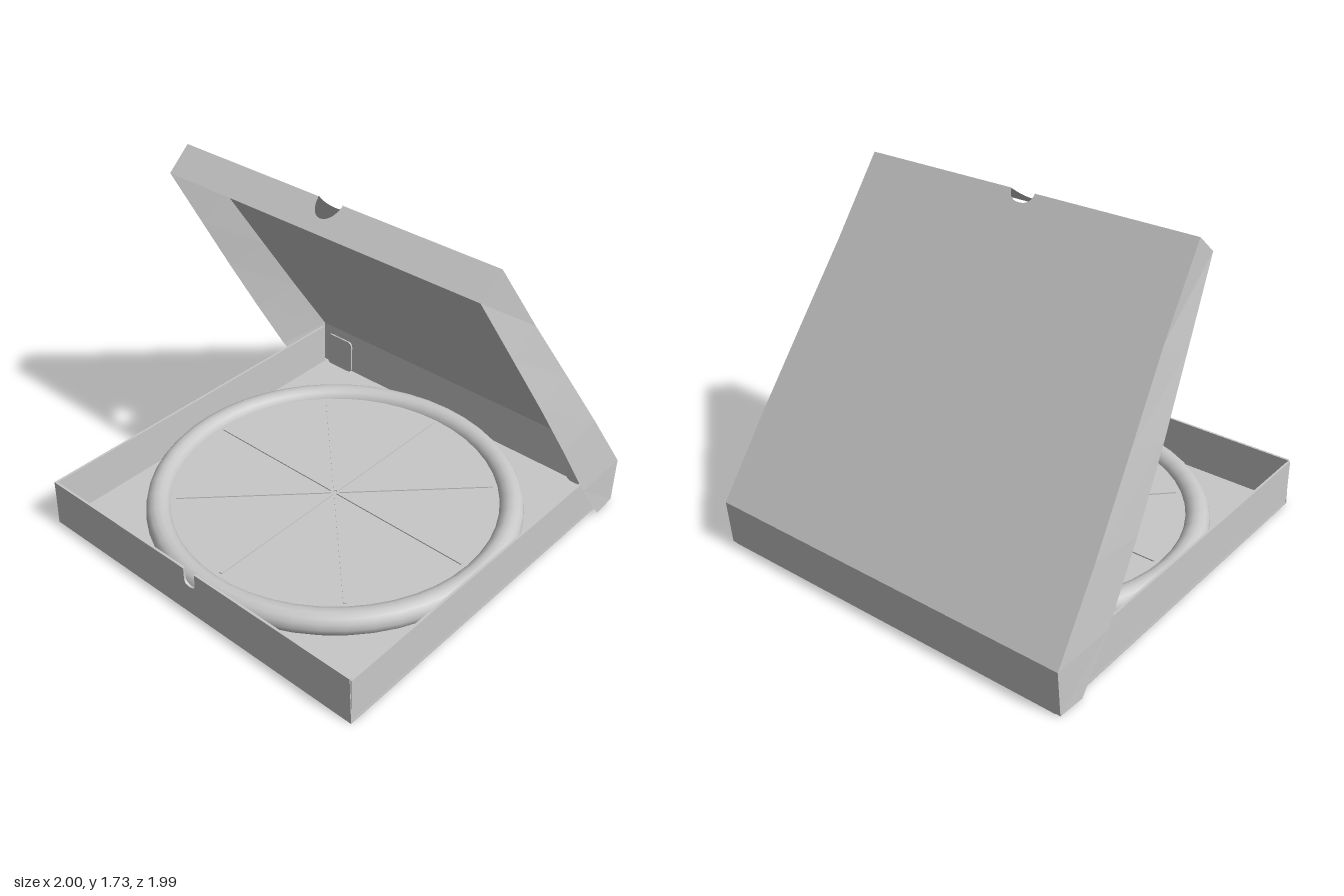
import * as THREE from 'three';

const card = new THREE.MeshStandardMaterial({ color: 0xc8c8c8, side: THREE.DoubleSide });
card.name = 'grey card';

function add(group, name, geometry, x = 0, y = 0, z = 0) {
  const mesh = new THREE.Mesh(geometry, card);
  mesh.name = name;
  mesh.position.set(x, y, z);
  group.add(mesh);
  return mesh;
}

// Sheet strip between two edges given as [x, y, z] points
function strip(edgeA, edgeB) {
  const pos = [];
  for (let i = 0; i < edgeA.length - 1; i++) {
    pos.push(...edgeA[i], ...edgeB[i], ...edgeB[i + 1]);
    pos.push(...edgeA[i], ...edgeB[i + 1], ...edgeA[i + 1]);
  }
  const g = new THREE.BufferGeometry();
  g.setAttribute('position', new THREE.Float32BufferAttribute(pos, 3));
  g.computeVertexNormals();
  return g;
}

// Flat sheet whose local up runs from one (y, z) point toward another
function layFlat(shape, from, to) {
  const x = new THREE.Vector3(1, 0, 0);
  const up = new THREE.Vector3(0, to[0] - from[0], to[1] - from[1]).normalize();
  const m = new THREE.Matrix4().makeBasis(x, up, x.clone().cross(up));
  m.setPosition(0, from[0], from[1]);
  return new THREE.ShapeGeometry(shape, 10).applyMatrix4(m);
}

function makeTray() {
  const tray = new THREE.Group();
  tray.name = 'tray';
  add(tray, 'floor', new THREE.BoxGeometry(1.93, 0.012, 1.97), 0, 0.006, 0.012);

  // Front wall with the thumb notch
  const s = new THREE.Shape();
  s.moveTo(-0.965, 0);
  s.lineTo(0.965, 0);
  s.lineTo(0.955, 0.255);
  s.lineTo(0.035, 0.255);
  s.lineTo(0.035, 0.19);
  s.quadraticCurveTo(0.033, 0.165, 0, 0.163);
  s.quadraticCurveTo(-0.033, 0.165, -0.035, 0.19);
  s.lineTo(-0.035, 0.255);
  s.lineTo(-0.955, 0.255);
  add(tray, 'frontWall', new THREE.ExtrudeGeometry(s, { depth: 0.012, bevelEnabled: false }), 0, 0, 0.987);

  for (const side of [-1, 1]) {
    add(tray, 'sideWall', new THREE.BoxGeometry(0.012, 0.245, 1.95), side * 0.957, 0.1265, 0.02);
    // Rounded tuck tab inside the back wall
    const t = new THREE.Shape();
    t.moveTo(-0.06, 0);
    t.lineTo(0.06, 0);
    t.quadraticCurveTo(0.09, 0, 0.09, 0.03);
    t.lineTo(0.09, 0.17);
    t.quadraticCurveTo(0.09, 0.2, 0.06, 0.2);
    t.lineTo(-0.06, 0.2);
    t.quadraticCurveTo(-0.09, 0.2, -0.09, 0.17);
    t.lineTo(-0.09, 0.03);
    t.quadraticCurveTo(-0.09, 0, -0.06, 0);
    add(tray, 'tuckTab', new THREE.ExtrudeGeometry(t, { depth: 0.009, bevelEnabled: false }), side * 0.83, 0.02, -0.955);
  }
  return tray;
}

function makeLid() {
  const lid = new THREE.Group();
  lid.name = 'lid';
  const hinge = [0.24, -0.995], crest = [1.73, 0.045], lip = [1.628, 0.17];
  const length = Math.hypot(crest[0] - hinge[0], crest[1] - hinge[1]);
  const flapLength = Math.hypot(lip[0] - crest[0], lip[1] - crest[1]);
  const widths = [0.987, 0.972, 0.945, 0.916, 0.9];

  // Sloping top panel, narrowing upward, notched at the crest
  const panel = new THREE.Shape();
  panel.moveTo(-widths[0], 0);
  widths.forEach((w, i) => panel.lineTo(w, length * i / 4));
  panel.lineTo(0.065, length);
  panel.quadraticCurveTo(0.06, length - 0.055, 0, length - 0.055);
  panel.quadraticCurveTo(-0.06, length - 0.055, -0.065, length);
  for (let i = 4; i > 0; i--) panel.lineTo(-widths[i], length * i / 4);
  add(lid, 'topPanel', layFlat(panel, hinge, crest));

  // Front flap with the other half of the notch
  const flap = new THREE.Shape();
  flap.moveTo(-0.9, 0);
  flap.lineTo(-0.07, 0);
  flap.quadraticCurveTo(-0.06, 0.085, 0, 0.09);
  flap.quadraticCurveTo(0.06, 0.085, 0.07, 0);
  flap.lineTo(0.9, 0);
  flap.lineTo(0.893, flapLength);
  flap.lineTo(-0.893, flapLength);
  add(lid, 'frontFlap', layFlat(flap, crest, lip));

  // Back wall and bowed side flaps
  add(lid, 'backWall', strip(
    [[-0.99, 0.005, -0.975], [0.99, 0.005, -0.975]],
    [[-0.987, 0.24, -0.995], [0.987, 0.24, -0.995]]));
  const rimWidths = [0.998, 0.985, 0.962, 0.928, 0.893];
  for (const side of [-1, 1]) {
    const outer = [[side * 0.99, 0.005, -0.975]];
    const rim = [[side * 0.998, 0.005, -0.835]];
    for (let i = 0; i <= 4; i++) {
      const t = i / 4;
      outer.push([side * widths[i], 0.24 + 1.49 * t, -0.995 + 1.04 * t]);
      rim.push([side * rimWidths[i], 0.25 + 1.378 * t, -0.66 + 0.83 * t]);
    }
    add(lid, 'sideFlap', strip(outer, rim));
  }
  return lid;
}

function makePizza() {
  const pizza = new THREE.Group();
  pizza.name = 'pizza';
  pizza.position.z = 0.02;
  // Rounded crust
  const crust = new THREE.TorusGeometry(0.875, 0.063, 14, 48);
  crust.rotateX(Math.PI / 2);
  add(pizza, 'crust', crust, 0, 0.095, 0);
  add(pizza, 'filling', new THREE.CylinderGeometry(0.86, 0.86, 0.1, 48), 0, 0.065, 0);
  // Slice cuts radiating from the centre
  for (let i = 0; i < 8; i++) {
    const cut = new THREE.BoxGeometry(0.014, 0.008, 0.78);
    cut.translate(0, 0, 0.4);
    add(pizza, 'sliceCut', cut, 0, 0.117, 0).rotation.y = i * Math.PI / 4;
  }
  return pizza;
}

export function createModel() {
  const model = new THREE.Group();
  model.name = 'openPizzaBox';
  model.add(makeTray(), makeLid(), makePizza());
  return model;
}
